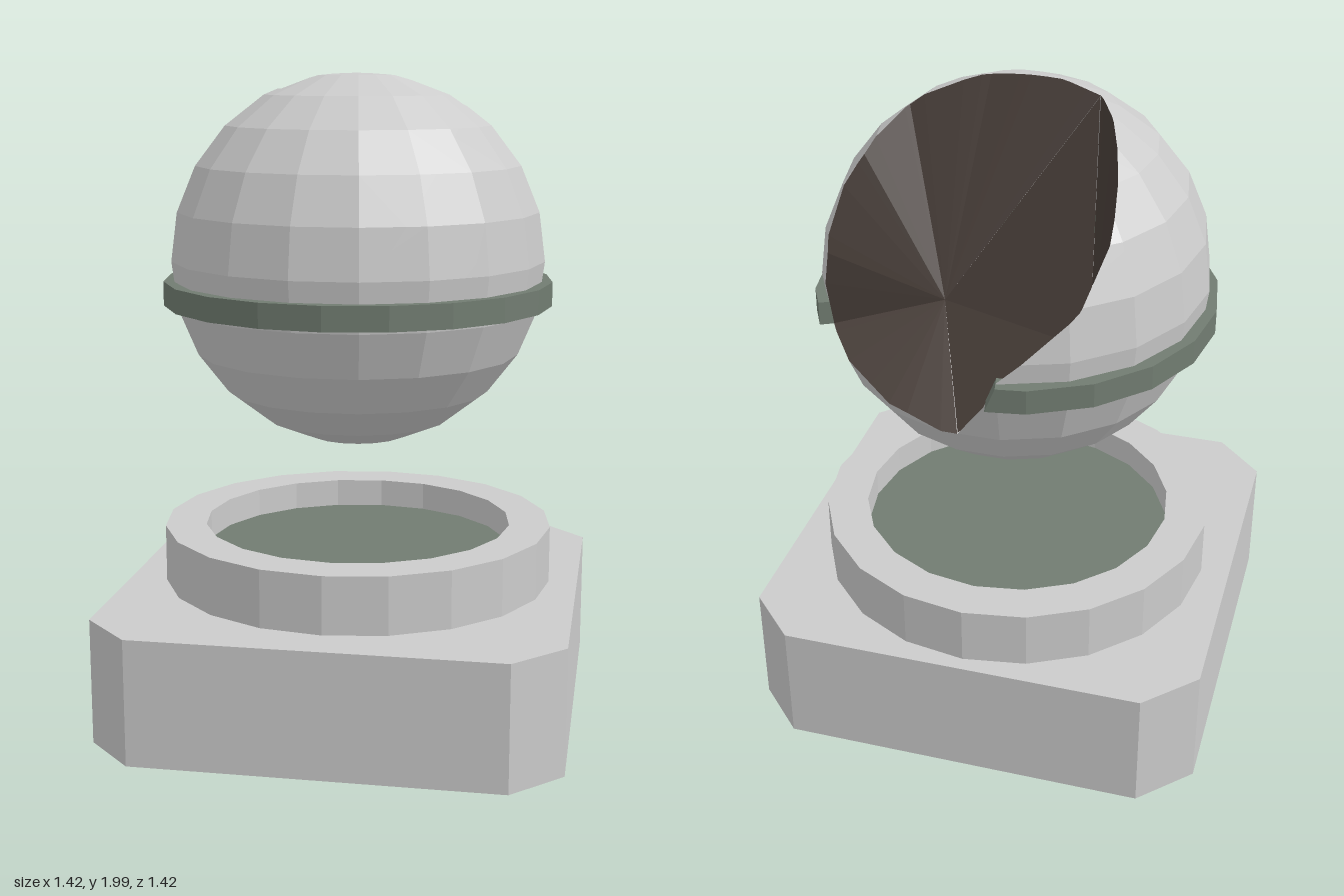
import * as THREE from 'three';

const V = (x, y, z) => new THREE.Vector3(x, y, z);
const OFFSET_Z = -0.045;          // orb and collar sit slightly behind the plinth centre
const ORB_Y = 1.418;

const material = (color) => new THREE.MeshStandardMaterial({
  color, flatShading: true, side: THREE.DoubleSide,
});
const GREY = material(0xcccccc), GREEN = material(0x717c71), DARK = material(0x463c37);

function mesh(name, geometry, mat) {
  const flat = geometry.index ? geometry.toNonIndexed() : geometry;
  flat.computeVertexNormals();
  const m = new THREE.Mesh(flat, mat);
  m.name = name;
  return m;
}

// Rim of the broken hole, relative to the orb centre, going once around
const RIM = [
  V(-0.22, 0.53, 0.115), V(-0.36, 0.29, -0.355), V(-0.31, 0.14, -0.475),
  V(-0.1, -0.06, -0.575), V(-0.06, -0.15, -0.56), V(0.04, -0.3, -0.505),
  V(0.2, -0.27, -0.47), V(0.42, -0.2, -0.355), V(0.51, -0.14, -0.255),
  V(0.51, 0.1, -0.255), V(0.42, 0.38, -0.145), V(0.33, 0.48, 0.015),
  V(0.1, 0.56, 0.085),
];
const AXIS = V(0.12, 0.3, -0.35);
// Deep points inside the hole, and the rim sector where the second one takes over
const DEEP_A = V(-0.31, -0.04, -0.355), DEEP_B = V(0.18, -0.06, -0.155), SWITCH = 5;

// Keep the part of a convex polygon in front of a plane through the orb centre
function clip(poly, n) {
  const out = [];
  poly.forEach((p, i) => {
    const q = poly[(i + 1) % poly.length];
    const dp = n.dot(p), dq = n.dot(q);
    if (dp >= 0) out.push(p);
    if ((dp > 0 && dq < 0) || (dp < 0 && dq > 0)) out.push(p.clone().lerp(q, dp / (dp - dq)));
  });
  return out;
}

// Normal of the plane through the centre and two directions, facing a third
function planeToward(a, b, toward) {
  const n = a.clone().cross(b).normalize();
  return n.dot(toward) < 0 ? n.negate() : n;
}

function fromTriangles(points) {
  return new THREE.BufferGeometry().setFromPoints(points);
}

// Cut the hole out of a surface; returns what is left and the cut edges per sector
function breakOpen(geometry) {
  const src = geometry.toNonIndexed().attributes.position;
  const kept = [], edges = RIM.map(() => []);
  RIM.forEach((r, i) => {
    const s = RIM[(i + 1) % RIM.length];
    const sideR = planeToward(AXIS, r, s), sideS = planeToward(AXIS, s, r);
    const outer = planeToward(r, s, AXIS).negate();
    for (let t = 0; t < src.count; t += 3) {
      let poly = [0, 1, 2].map((k) => V().fromBufferAttribute(src, t + k));
      for (const n of [sideR, sideS, outer]) poly = clip(poly, n);
      if (poly.length < 3) continue;
      for (let k = 1; k < poly.length - 1; k++) kept.push(poly[0], poly[k], poly[k + 1]);
      poly.forEach((p, k) => {
        const q = poly[(k + 1) % poly.length];
        if (Math.abs(outer.dot(p)) < 1e-6 && Math.abs(outer.dot(q)) < 1e-6) edges[i].push([q, p]);
      });
    }
  });
  return { left: fromTriangles(kept), edges };
}

const ringGeometry = (inner, outer, bottom, top, sides) => new THREE.LatheGeometry([
  [inner, bottom], [outer, bottom], [outer, top], [inner, top], [inner, bottom],
].map(([x, y]) => new THREE.Vector2(x, y)), sides);

export function createModel() {
  const model = new THREE.Group();
  model.name = 'brokenOrbOnPedestal';

  // Square plinth with cut corners
  const w = 0.71, c = 0.56;
  const outline = new THREE.Shape([
    [w, -c], [w, c], [c, w], [-c, w], [-w, c], [-w, -c], [-c, -w], [c, -w],
  ].map(([x, y]) => new THREE.Vector2(x, y)));
  const plinth = new THREE.ExtrudeGeometry(outline, { depth: 0.39, bevelEnabled: false });
  plinth.rotateX(-Math.PI / 2);
  model.add(mesh('plinth', plinth, GREY));

  // Collar with a sunken green floor
  const collar = mesh('collar', ringGeometry(0.49, 0.62, 0.385, 0.57, 20), GREY);
  const floor = mesh('collarFloor', new THREE.CylinderGeometry(0.5, 0.5, 0.1, 20), GREEN);
  collar.position.z = floor.position.z = OFFSET_Z;
  floor.position.y = 0.43;
  model.add(collar, floor);

  // Floating orb with a broken shell
  const orb = new THREE.Group();
  orb.name = 'orb';
  orb.position.set(0, ORB_Y, OFFSET_Z);
  const shell = breakOpen(new THREE.SphereGeometry(0.585, 18, 12));
  orb.add(mesh('orbShell', shell.left, GREY));

  // Rough inside of the break, from the cut edges down to the deep points
  const inside = [];
  shell.edges.forEach((list, i) => {
    const deep = i < SWITCH ? DEEP_A : DEEP_B;
    list.forEach(([p, q]) => inside.push(p, q, deep));
  });
  const onShell = (p) => p.clone().setLength(0.575);
  inside.push(onShell(RIM[0]), DEEP_A, DEEP_B, onShell(RIM[SWITCH]), DEEP_B, DEEP_A);
  orb.add(mesh('breakSurface', fromTriangles(inside), DARK));

  // Belt around the orb, snapped off at the hole, with its ends closed
  const belt = breakOpen(ringGeometry(0.55, 0.61, -0.138, -0.063, 20));
  orb.add(mesh('belt', belt.left, GREEN));
  const ends = [];
  belt.edges.forEach((list) => list.forEach(([p, q]) => ends.push(p, q, list[0][0])));
  orb.add(mesh('beltEnds', fromTriangles(ends), GREEN));

  model.add(orb);
  return model;
}
